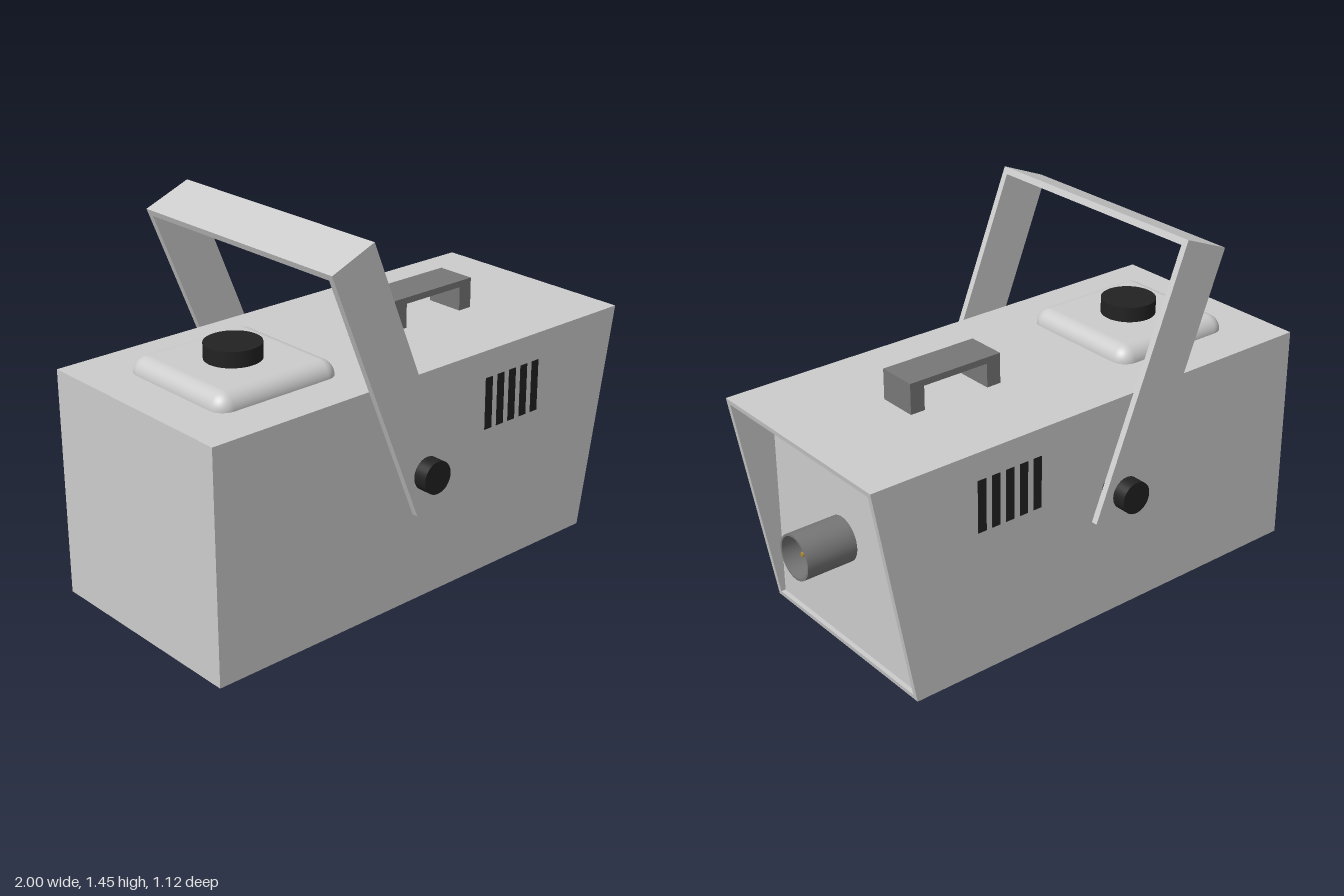
import * as THREE from 'three';
import { RoundedBoxGeometry } from 'three/addons/geometries/RoundedBoxGeometry.js';

const grey = new THREE.MeshStandardMaterial({ color: 0xcccccc });
const darkGrey = new THREE.MeshStandardMaterial({ color: 0x777777 });
const black = new THREE.MeshStandardMaterial({ color: 0x222222 });
const brass = new THREE.MeshStandardMaterial({ color: 0xb08a30 });

const W = 0.445, H = 0.89, T = 0.02; // case half width, height, sheet thickness
const frontX = (y) => 0.81 + 0.16 * y / H; // slanted front edge of the case

function add(parent, name, geometry, material, x = 0, y = 0, z = 0) {
  const mesh = new THREE.Mesh(geometry, material);
  mesh.name = name;
  mesh.position.set(x, y, z);
  parent.add(mesh);
  return mesh;
}

// Extrudes a polygon along z, centred on z = 0
function prism(points, depth) {
  const shape = new THREE.Shape(points.map(([x, y]) => new THREE.Vector2(x, y)));
  return new THREE.ExtrudeGeometry(shape, { depth, bevelEnabled: false }).translate(0, 0, -depth / 2);
}

// Case plate spanning heights y0..y1, following the slanted front edge
const plate = (y0, y1, depth) =>
  prism([[-1, y0], [frontX(y0), y0], [frontX(y1), y1], [-1, y1]], depth);

export function createModel() {
  const model = new THREE.Group();
  model.name = 'fogMachine';

  // Sheet-metal case with an upright panel set back inside the slanted rim
  const body = new THREE.Group();
  body.name = 'case';
  model.add(body);
  add(body, 'bottomPlate', plate(0, T, 2 * (W - T)), grey);
  add(body, 'topPlate', plate(H - T, H, 2 * (W - T)), grey);
  add(body, 'rearPanel', new THREE.BoxGeometry(T, H - 2 * T, 2 * (W - T)), grey, -1 + T / 2, H / 2);
  add(body, 'frontPanel', new THREE.BoxGeometry(T, H - 2 * T, 2 * (W - T)), grey, 0.785, H / 2);

  for (const side of [1, -1]) {
    add(body, 'sidePlate', plate(0, H, T), grey, 0, 0, side * (W - T / 2));

    // Ventilation slots
    for (let i = 0; i < 5; i++) {
      add(body, 'ventSlot', new THREE.BoxGeometry(0.036, 0.205, 0.004), black,
        0.27 + i * 0.0615, 0.68, side * W);
    }

    // Clamping knob of the bracket
    const knob = add(model, 'bracketKnob', new THREE.CylinderGeometry(0.063, 0.063, 0.115, 40), black,
      -0.1, 0.535, side * (W + 0.0575));
    knob.rotation.x = Math.PI / 2;
  }

  // Tilted U-shaped mounting bracket
  const bracket = new THREE.Group();
  bracket.name = 'bracket';
  bracket.position.set(-0.1, 0.535, 0);
  bracket.rotation.z = 0.382;
  model.add(bracket);
  const o = 0.505, n = 0.48, low = -0.13, high = 0.942;
  const strap = add(bracket, 'bracketStrap', prism([
    [-o, low], [-n, low], [-n, high - 0.025], [n, high - 0.025],
    [n, low], [o, low], [o, high], [-o, high],
  ], 0.2), grey);
  strap.rotation.y = Math.PI / 2;

  // Carrying handle
  add(model, 'carryHandle', prism([
    [0.14, H], [0.2, H], [0.2, 0.985], [0.48, 0.985],
    [0.48, H], [0.54, H], [0.54, 1.01], [0.14, 1.01],
  ], 0.16), darkGrey);

  // Fluid tank, half sunk in the top, with its cap
  add(model, 'fluidTank', new RoundedBoxGeometry(0.535, 0.14, 0.535, 8, 0.06), grey, -0.56, 0.88);
  add(model, 'tankCap', new THREE.CylinderGeometry(0.106, 0.106, 0.07, 48), black, -0.56, 0.975);

  // Hollow nozzle with a brass jet inside
  const nozzle = new THREE.Group();
  nozzle.name = 'nozzle';
  nozzle.position.set(0, 0.45, 0);
  nozzle.rotation.z = -Math.PI / 2;
  model.add(nozzle);
  // Each section has its own edge loops, so the rim stays sharp
  const sections = [
    [[0.088, 0.79], [0.088, 1]],
    [[0.088, 1], [0.08, 1]],
    [[0.08, 1], [0.08, 0.92]],
    [[0.08, 0.92], [0, 0.92]],
  ];
  for (const s of sections) {
    add(nozzle, 'nozzleTube',
      new THREE.LatheGeometry(s.map(([r, y]) => new THREE.Vector2(r, y)), 48), darkGrey);
  }
  add(nozzle, 'nozzleJet', new THREE.CylinderGeometry(0.008, 0.014, 0.05, 16), brass, 0, 0.945);

  return model;
}
